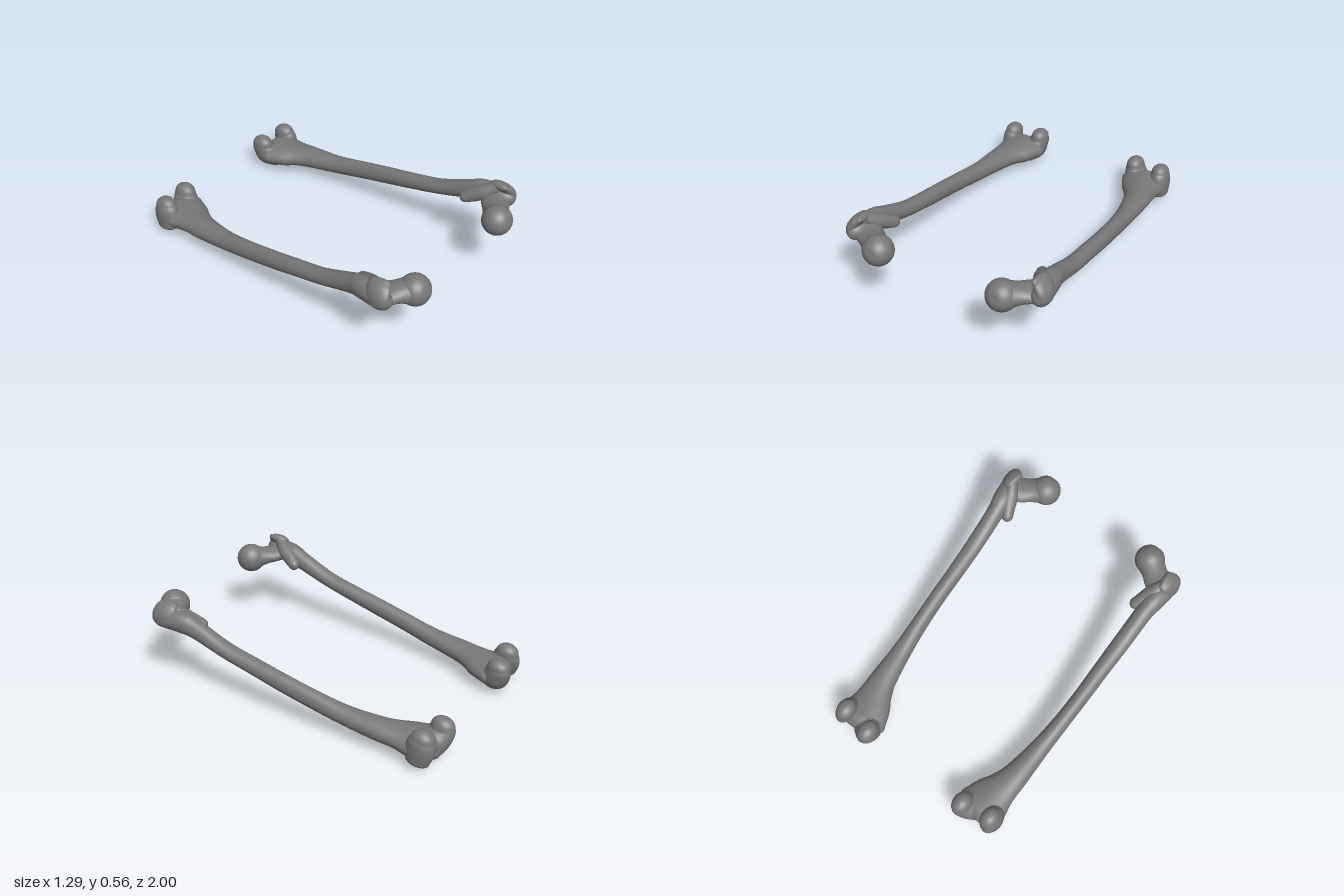
import * as THREE from 'three';

const Y = new THREE.Vector3(0, 1, 0);
const Z = new THREE.Vector3(0, 0, 1);
const material = new THREE.MeshStandardMaterial({ color: 0x787878 });

// Smooth loft through sections [x, y, z, radiusA, radiusB], closed by a dome at each end.
// "ref" fixes the ring: radiusB points along it, radiusA across it.
function loft(sections, { ref = Y, domes = [0.03, 0.03], steps = 8, sides = 32 } = {}) {
  const path = new THREE.CatmullRomCurve3(
    sections.map(s => new THREE.Vector3(s[0], s[1], s[2])), false, 'catmullrom');
  const radii = new THREE.CatmullRomCurve3(
    sections.map(s => new THREE.Vector3(s[3], s[4], 0)), false, 'catmullrom');
  const rings = [];
  const DOME = 8;
  const addRing = (u, shift, scale) => {
    const t = path.getTangent(u);
    const side = ref.clone().cross(t).normalize();
    const up = t.clone().cross(side);
    const r = radii.getPoint(u);
    const centre = path.getPoint(u).addScaledVector(t, shift);
    rings.push({ centre, side, up, a: r.x * scale, b: r.y * scale });
  };
  for (let i = DOME; i > 0; i--) {
    const q = (i / DOME) * Math.PI / 2;
    addRing(0, -domes[0] * Math.sin(q), Math.max(Math.cos(q), 0.001));
  }
  const n = (sections.length - 1) * steps;
  for (let i = 0; i <= n; i++) addRing(i / n, 0, 1);
  for (let i = 1; i <= DOME; i++) {
    const q = (i / DOME) * Math.PI / 2;
    addRing(1, domes[1] * Math.sin(q), Math.max(Math.cos(q), 0.001));
  }

  const positions = [], index = [];
  rings.forEach(({ centre, side, up, a, b }, i) => {
    for (let j = 0; j < sides; j++) {
      const q = (j / sides) * Math.PI * 2;
      const p = centre.clone()
        .addScaledVector(side, a * Math.cos(q)).addScaledVector(up, b * Math.sin(q));
      positions.push(p.x, p.y, p.z);
      if (i === rings.length - 1) continue;
      const k = (j + 1) % sides;
      const v0 = i * sides + j, v1 = i * sides + k;
      index.push(v0, v1, v0 + sides, v1, v1 + sides, v0 + sides);
    }
  });
  const geometry = new THREE.BufferGeometry();
  geometry.setAttribute('position', new THREE.Float32BufferAttribute(positions, 3));
  geometry.setIndex(index);
  geometry.computeVertexNormals();
  return geometry;
}

// Ball of the hip joint with the small pit on its front
function headGeometry() {
  const geometry = new THREE.SphereGeometry(0.091, 36, 24);
  const pit = new THREE.Vector3(0, 0.03, 0.085);
  const p = geometry.attributes.position, v = new THREE.Vector3();
  for (let i = 0; i < p.count; i++) {
    v.fromBufferAttribute(p, i);
    const d = v.distanceTo(pit) / 0.022;
    v.multiplyScalar(1 - 0.09 * Math.exp(-d * d));
    p.setXYZ(i, v.x, v.y, v.z);
  }
  geometry.computeVertexNormals();
  return geometry;
}

// One thigh bone; s = 1 for the left, -1 for the right
function createBone(s) {
  const bone = new THREE.Group();
  bone.name = s > 0 ? 'leftThighBone' : 'rightThighBone';
  const add = (name, geometry) => {
    const mesh = new THREE.Mesh(geometry, material);
    mesh.name = name;
    bone.add(mesh);
    return mesh;
  };
  const addLoft = (name, sections, options) =>
    add(name, loft(sections.map(([x, ...rest]) => [x * s, ...rest]), options));

  // Shaft, flaring into the broad knee end
  addLoft('shaft', [
    [0.585, 0.446, 0.82, 0.058, 0.060],
    [0.567, 0.442, 0.70, 0.062, 0.068],
    [0.557, 0.412, 0.60, 0.054, 0.058],
    [0.551, 0.338, 0.40, 0.053, 0.047],
    [0.546, 0.287, 0.20, 0.050, 0.051],
    [0.543, 0.240, 0.00, 0.048, 0.056],
    [0.535, 0.195, -0.20, 0.050, 0.057],
    [0.521, 0.154, -0.40, 0.060, 0.057],
    [0.503, 0.130, -0.60, 0.081, 0.063],
    [0.484, 0.121, -0.70, 0.101, 0.064],
    [0.466, 0.111, -0.78, 0.130, 0.070],
    [0.453, 0.106, -0.87, 0.154, 0.073],
  ], { domes: [0.08, 0.075], sides: 36 });

  // Hip end: the neck is wide from above and swells into the head
  addLoft('neck', [
    [0.585, 0.440, 0.775, 0.072, 0.052],
    [0.520, 0.432, 0.812, 0.083, 0.046],
    [0.465, 0.430, 0.852, 0.077, 0.055],
    [0.405, 0.428, 0.898, 0.082, 0.081],
  ]);
  add('head', headGeometry()).position.set(0.392 * s, 0.427, 0.908);
  addLoft('greaterTrochanter', [
    [0.603, 0.435, 0.830, 0.041, 0.068],
    [0.601, 0.475, 0.820, 0.039, 0.074],
    [0.580, 0.512, 0.808, 0.033, 0.072],
    [0.556, 0.531, 0.803, 0.025, 0.062],
  ], { ref: Z, domes: [0.03, 0.021] });
  addLoft('trochanterCrest', [
    [0.560, 0.505, 0.785, 0.032, 0.038],
    [0.535, 0.465, 0.725, 0.050, 0.046],
    [0.506, 0.432, 0.668, 0.043, 0.045],
    [0.485, 0.412, 0.630, 0.037, 0.037],
  ], { domes: [0.03, 0.040] });

  // Knee end: two knuckles with a notch above and a shallow groove below
  addLoft('innerCondyle', [
    [0.428, 0.055, -0.872, 0.062, 0.080],
    [0.384, 0.105, -0.900, 0.079, 0.084],
    [0.362, 0.150, -0.920, 0.064, 0.079],
    [0.357, 0.182, -0.924, 0.055, 0.070],
  ], { ref: Z, domes: [0.044, 0.053] });
  addLoft('outerCondyle', [
    [0.563, 0.060, -0.880, 0.045, 0.072],
    [0.556, 0.110, -0.886, 0.054, 0.086],
    [0.547, 0.160, -0.892, 0.060, 0.083],
    [0.543, 0.192, -0.898, 0.055, 0.069],
  ], { ref: Z, domes: [0.034, 0.053] });
  return bone;
}

export function createModel() {
  const model = new THREE.Group();
  model.name = 'thighBones';
  model.add(createBone(1), createBone(-1));
  return model;
}
